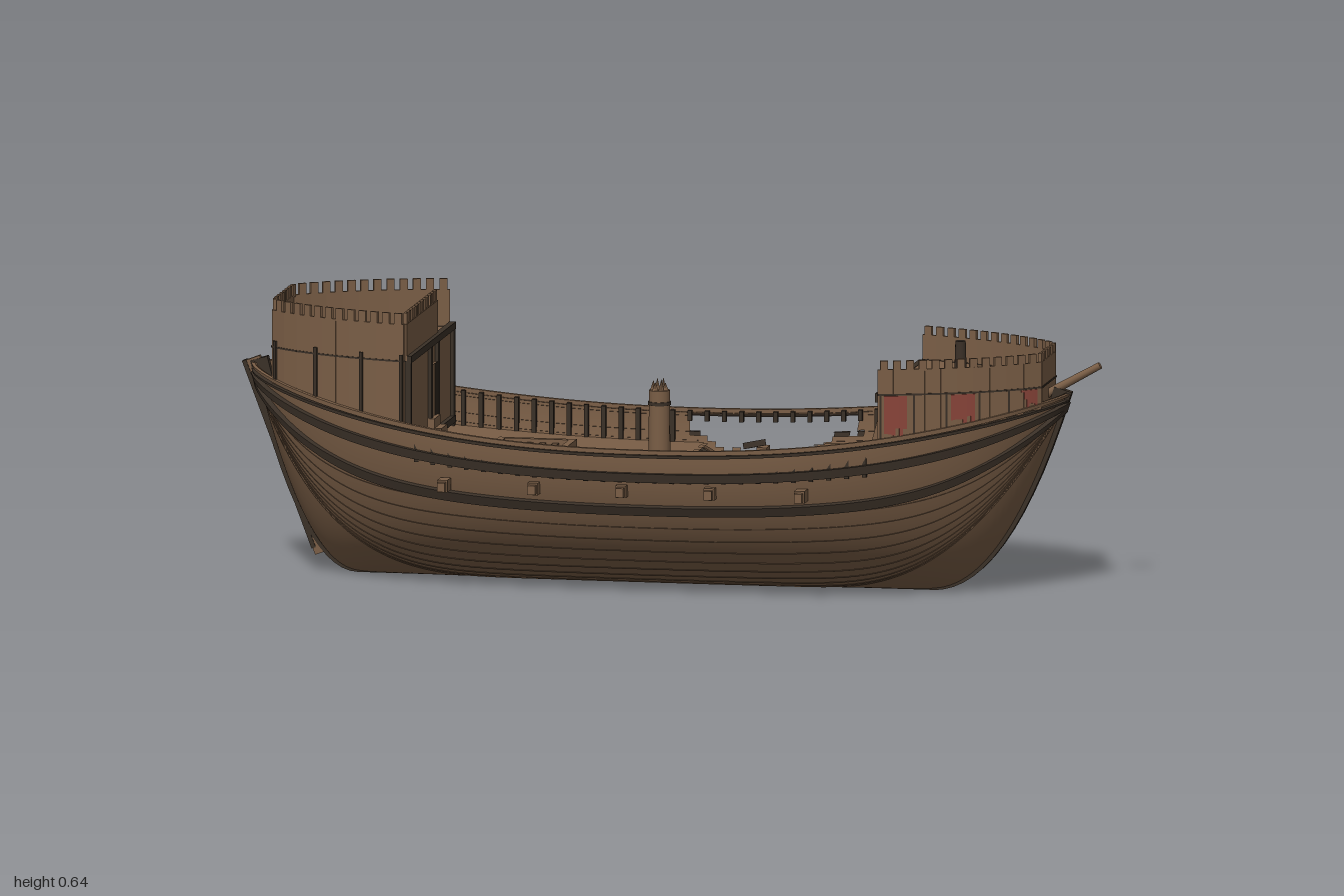
import * as THREE from 'three';
import { toCreasedNormals } from 'three/addons/utils/BufferGeometryUtils.js';

const mat = (name, color) => new THREE.MeshStandardMaterial({ name, color, side: THREE.DoubleSide });
const hash = n => { const s = Math.sin(n * 127.1 + 11.7) * 43758.5453; return s - Math.floor(s); };

// Hull rules: s runs stern (-1) to bow (1), v runs keel (0) to sheer (1)
const sheer = x => 0.35 + 0.115 * Math.pow(Math.abs(x) / 0.92, 2.2);
const reach = (s, v) => (s > 0 ? 0.6 + 0.32 * Math.sqrt(v) : 0.72 + 0.25 * Math.sqrt(v));
const taper = (s, v) => Math.pow(Math.max(0, 1 - Math.pow(Math.abs(s), s > 0 ? 2.8 : 3)),
  (s > 0 ? 0.68 : 0.6) - 0.08 * Math.max(0, 1 - v));
const half = x => 0.315 * taper(x / (x > 0 ? 0.92 : 0.97), 1);
const wallHalf = x => half(x) * (x > 0 ? 0.985 : 0.96);
function hull(s, v, side, off = 0) {
  const x = s * reach(s, v), y = v * sheer(x);
  const z = side * 0.315 * Math.sqrt(Math.max(0, 1 - (1 - v) ** 2)) * taper(s, v);
  const d = new THREE.Vector3(0.25 * x ** 3, Math.min(0, y - 0.3), z).normalize();
  return [x + d.x * off, y + d.y * off, z + d.z * off];
}
const station = u => Math.sin((u - 0.5) * Math.PI);
const inBreach = (x, v) => x > -0.03 && x < 0.38 && v < 0.95 &&
  v > 0.63 + 0.18 * ((x - 0.17) / 0.21) ** 2 + 0.1 * hash(Math.round(x * 45));

export function createModel() {
  const ship = new THREE.Group();
  ship.name = 'ship';
  const wood = mat('wood', 0x7a5e46), dark = mat('darkWood', 0x3a3027);
  const shade = mat('shadedWood', 0x5a4533), red = mat('redPaint', 0x8a453a);

  const add = (name, geo, m, parent = ship) => {
    const mesh = new THREE.Mesh(geo, m);
    mesh.name = name;
    parent.add(mesh);
    return mesh;
  };
  const box = (name, x0, x1, y0, y1, z0, z1, m, parent) => {
    const b = add(name, new THREE.BoxGeometry(x1 - x0, y1 - y0, z1 - z0), m, parent);
    b.position.set((x0 + x1) / 2, (y0 + y1) / 2, (z0 + z1) / 2);
  };
  // Upright plank between two [x, z] points
  const plank = (name, a, b, y0, y1, t, m, parent) => {
    const dx = b[0] - a[0], dz = b[1] - a[1];
    const p = add(name, new THREE.BoxGeometry(Math.hypot(dx, dz), y1 - y0, t), m, parent);
    p.position.set((a[0] + b[0]) / 2, (y0 + y1) / 2, (a[1] + b[1]) / 2);
    p.rotation.y = Math.atan2(-dz, dx);
  };
  // Straight timber between two 3D points
  const spar = (name, a, b, w, d, m) => {
    const A = new THREE.Vector3(...a), B = new THREE.Vector3(...b);
    const p = add(name, new THREE.BoxGeometry(w, A.distanceTo(B), d), m);
    p.position.copy(A).add(B).multiplyScalar(0.5);
    p.quaternion.setFromUnitVectors(new THREE.Vector3(0, 1, 0), B.sub(A).normalize());
  };
  const grid = (name, nu, nv, f, m, skip = () => false) => {
    const pos = [], idx = [];
    for (let i = 0; i <= nu; i++) for (let j = 0; j <= nv; j++) pos.push(...f(i / nu, j / nv));
    for (let i = 0; i < nu; i++) for (let j = 0; j < nv; j++) {
      if (skip((i + 0.5) / nu, (j + 0.5) / nv)) continue;
      const a = i * (nv + 1) + j, b = a + nv + 1;
      idx.push(a, b, a + 1, b, b + 1, a + 1);
    }
    const g = new THREE.BufferGeometry();
    g.setAttribute('position', new THREE.Float32BufferAttribute(pos, 3));
    g.setIndex(idx);
    return add(name, toCreasedNormals(g, 0.7), m);
  };

  // Planked shell, breached on one side
  const girth = w => 1 - Math.cos(w * Math.PI / 2);
  for (const side of [1, -1]) {
    // Mirrored run keeps the faces outward on both sides
    const st = u => station(side > 0 ? u : 1 - u);
    grid('hullSide', 140, 44, (u, w) => hull(st(u), girth(w), side), wood,
      (u, w) => { const v = girth(w), s = st(u); return side < 0 && inBreach(s * reach(s, v), v); });
    const strip = (name, vf, dv, off, m, broken) => grid(name, 140, 3, (u, w) => {
      const j = Math.round(w * 3), s = st(u), d = dv * (1 - 0.55 * s ** 6);
      return hull(s, vf(s) + (j < 2 ? -d : d), side, j % 3 ? off : -0.004);
    }, m, u => { const s = st(u), v = vf(s); return broken && side < 0 && inBreach(s * reach(s, v), v); });
    const sweep = (v0, v1, k) => s => v0 + (v1 - v0) * Math.abs(s) ** k;
    strip('sheerRail', () => 0.988, 0.014, 0.008, wood);
    strip('sheerLine', () => 0.962, 0.01, 0.011, dark);
    strip('upperWale', sweep(0.82, 0.94, 5), 0.028, 0.014, dark, true);
    strip('lowerWale', sweep(0.6, 0.92, 6), 0.028, 0.014, dark, true);
    for (let k = 1; k <= 10; k++) {
      const a = k * 0.112;
      strip('plankSeam', sweep(1 - Math.cos(a), 0.9, 8), 0.003 * Math.sin(a), 0.0015, shade);
    }
    // Dark lining of the open hold
    grid('holdLining', 16, 12, (u, w) => hull(-0.06 + 0.52 * u, girth(0.03 + 0.6 * w), side, -0.01), dark);
    // Bulwark stanchions
    for (let x = -0.54; x < 0.52; x += 0.04) {
      const z = side * (half(x) - 0.01), hole = side < 0 && x > -0.03 && x < 0.38;
      box('stanchion', x - 0.005, x + 0.005, sheer(x) * (hole ? 0.92 : 0.78), sheer(x) - 0.004, z - 0.006, z + 0.006, dark);
    }
    // Deck beam ends
    for (const x of [-0.47, -0.26, -0.055, 0.15, 0.36]) {
      const z = side * 0.305;
      box('beamEnd', x - 0.012, x + 0.012, 0.24, 0.268, z - 0.02, z + 0.02, wood);
      box('beamTip', x - 0.009, x + 0.009, 0.243, 0.264, side * 0.33 - 0.011, side * 0.33 + 0.011, wood);
    }
  }

  // Main deck with a ragged opening
  const deckV = 0.78;
  grid('deck', 220, 44, (u, w) => {
    const p = hull(station(1 - u), deckV, 1);
    return [p[0], p[1], p[2] * (1 - 2 * w) * 0.99];
  }, wood, (u, w) => {
    const x = hull(station(1 - u), deckV, 1)[0], r = Math.floor(w * 44);
    return x > 0.01 + 0.03 * hash(r) && x < 0.305 - 0.035 * hash(r + 70);
  });
  // Collapsed deck planks sagging into the hold, and splinters in the breach
  for (let i = 0; i < 15; i++) {
    const z = -0.266 + i * 0.038, low = 0.235 - 0.05 * Math.cos(z * 5) - 0.02 * hash(i + 8);
    const mid = 0.13 + 0.04 * hash(i + 20), m = i % 3 ? dark : shade;
    spar('saggingPlank', [0.02, 0.268, z], [mid, low, z], 0.006, 0.026, m);
    spar('saggingPlank', [0.295, 0.27, z], [mid + 0.01, low, z], 0.006, 0.026, m);
  }
  for (let i = 0; i < 12; i++) {
    const x = 0.36 * hash(i + 5), y = 0.22 + 0.07 * hash(i + 30), z = -0.26 - 0.04 * hash(i + 60);
    spar('splinter', [x, y, z], [x + 0.05, y + 0.03 * (hash(i + 90) - 0.5), z - 0.012], 0.014, 0.006, i % 2 ? wood : dark);
  }

  // Keel, stem, sternpost and rudder
  box('keel', -0.73, 0.62, 0, 0.01, -0.011, 0.011, dark);
  for (const e of [1, -1]) {
    const out = [], inn = [];
    for (let i = 0; i <= 14; i++) {
      const v = (i / 14) ** 2, x = e * reach(e, v), y = v * sheer(x);
      out.push(new THREE.Vector2(x + e * 0.01, y));
      inn.unshift(new THREE.Vector2(x - e * 0.03, y + 0.012));
    }
    const g = new THREE.ExtrudeGeometry(new THREE.Shape([...out, ...inn]), { depth: 0.02, bevelEnabled: false });
    add(e > 0 ? 'stem' : 'sternpost', g.translate(0, 0, -0.01), dark);
  }
  spar('rudder', [-0.81, 0.043, 0], [-0.977, 0.485, 0], 0.04, 0.016, wood);
  spar('rudderEdge', [-0.832, 0.052, 0], [-0.994, 0.48, 0], 0.01, 0.02, dark);

  // Castles: crenellated walls following the hull plan
  function castle(name, xIn, xOut, floorY, wallY, topY) {
    const g = new THREE.Group();
    g.name = name;
    ship.add(g);
    const path = [], N = 10, at = i => xIn + (xOut - xIn) * i / N;
    for (let i = 0; i <= N; i++) path.push([at(i), wallHalf(at(i))]);
    for (let i = N; i >= 0; i--) path.push([at(i), -wallHalf(at(i))]);
    for (let i = 0; i < path.length - 1; i++) {
      const [a, b] = [path[i], path[i + 1]];
      plank('wall', a, b, Math.min(sheer(a[0]), sheer(b[0])) - 0.008, wallY, 0.008, wood, g);
      plank('floorBand', a, b, floorY - 0.002, floorY + 0.002, 0.011, dark, g);
    }
    const teeth = pts => {
      const curve = new THREE.CurvePath();
      for (let i = 0; i < pts.length - 1; i++)
        curve.add(new THREE.LineCurve(new THREE.Vector2(...pts[i]), new THREE.Vector2(...pts[i + 1])));
      const n = Math.round(curve.getLength() / 0.03);
      for (let k = 0; k < n; k++) {
        const p = curve.getPoint((k + 0.2) / n), q = curve.getPoint((k + 0.8) / n);
        plank('crenel', [p.x, p.y], [q.x, q.y], wallY - 0.004, topY, 0.008, wood, g);
      }
    };
    teeth(path);
    const floor = new THREE.Shape(path.map(p => new THREE.Vector2(...p)));
    add('castleFloor', new THREE.ExtrudeGeometry(floor, { depth: 0.012, bevelEnabled: false })
      .rotateX(-Math.PI / 2).translate(0, floorY - 0.012, 0), wood, g);
    return { g, teeth };
  }
  // Thin plate following a castle wall, with an optionally uneven lower edge
  const sidePlate = (name, x0, x1, y0, y1, off, t, m, side, parent, rag = 0, n = 3) => {
    for (let i = 0; i < n; i++) {
      const a = x0 + (x1 - x0) * i / n, b = x0 + (x1 - x0) * (i + 1) / n;
      plank(name, [a, side * (wallHalf(a) + off)], [b, side * (wallHalf(b) + off)],
        y0 + rag * hash(i + 100 * x0 + side), y1, t, m, parent);
    }
  };

  const aft = castle('aftCastle', -0.57, -0.905, 0.53, 0.615, 0.64);
  const fore = castle('foreCastle', 0.53, 0.872, 0.487, 0.545, 0.565);
  for (const side of [1, -1]) {
    for (const x of [-0.898, -0.79, -0.675, -0.577])
      sidePlate('aftPost', x - 0.004, x + 0.004, sheer(x) - 0.01, 0.545, 0.004, 0.008, dark, side, aft.g, 0, 1);
    for (const x of [0.537, 0.61, 0.68, 0.75, 0.81])
      sidePlate('forePost', x - 0.002, x + 0.002, sheer(x) - 0.01, 0.487, 0.004, 0.004, dark, side, fore.g, 0, 1);
    for (const [a, b] of [[0.545, 0.595], [0.69, 0.74], [0.835, 0.866]])
      sidePlate('redPanel', a, b, sheer(a) - 0.005, 0.484, 0.004, 0.006, red, side, fore.g, 0.045, 6);
  }
  // Windows on one side of the aft castle
  for (const x of [-0.73, -0.84]) {
    sidePlate('windowFrame', x - 0.034, x + 0.034, 0.435, 0.51, 0.005, 0.006, wood, -1, aft.g);
    for (const dx of [-0.027, 0.003]) for (const y of [0.442, 0.475])
      sidePlate('windowPane', x + dx, x + dx + 0.024, y, y + 0.028, 0.009, 0.006, dark, -1, aft.g);
  }
  // Aft bulkhead, broken parapet, door and steps
  box('aftBulkhead', -0.575, -0.565, 0.3, 0.53, -0.255, 0.255, wood, aft.g);
  box('aftParapet', -0.575, -0.565, 0.53, 0.615, -0.1, 0.26, wood, aft.g);
  aft.teeth([[-0.57, 0.26], [-0.57, -0.1]]);
  for (const y of [0.31, 0.525]) box('bulkheadBeam', -0.57, -0.555, y, y + 0.016, -0.258, 0.258, dark, aft.g);
  for (const z of [-0.25, -0.07, 0.01, 0.25]) box('bulkheadPost', -0.57, -0.556, 0.3, 0.53, z - 0.007, z + 0.007, dark, aft.g);
  box('door', -0.566, -0.559, 0.31, 0.48, -0.06, 0, wood, aft.g);
  box('doorGap', -0.566, -0.557, 0.31, 0.48, -0.06, -0.035, dark, aft.g);
  for (let i = 0; i < 3; i++) box('step', -0.565 + i * 0.016, -0.549 + i * 0.016, 0.28, 0.36 - i * 0.022, -0.05, 0.02, wood, aft.g);
  // Fore bulkhead, edge beam, ladder and bitt
  box('foreBulkhead', 0.545, 0.555, 0.29, 0.48, -0.215, 0.215, wood, fore.g);
  box('foreEdgeBeam', 0.522, 0.536, 0.468, 0.488, -0.256, 0.256, dark, fore.g);
  for (const z of [0.07, 0.12]) spar('ladderRail', [0.475, 0.285, z], [0.53, 0.49, z], 0.012, 0.006, wood);
  for (let i = 1; i < 8; i++) box('rung', 0.469 + i * 0.007, 0.481 + i * 0.007, 0.284 + i * 0.025, 0.289 + i * 0.025, 0.07, 0.12, wood);
  add('bitt', new THREE.CylinderGeometry(0.012, 0.015, 0.09, 12), dark).position.set(0.67, 0.53, 0);

  // Hatches with gratings
  for (const [x0, x1, z] of [[-0.42, -0.24, 0.09], [0.34, 0.475, 0.082]]) {
    const y = deckV * sheer(x0 < 0 ? x0 : x1) - 0.003, t = 0.016;
    box('hatchWell', x0 + t, x1 - t, y - 0.006, y + 0.006, -z + t, z - t, dark);
    for (const s of [1, -1]) box('hatchCoaming', x0, x1, y - 0.015, y + 0.02, s * (z - t / 2) - t / 2, s * (z - t / 2) + t / 2, wood);
    for (const x of [x0, x1 - t]) box('hatchCoaming', x, x + t, y - 0.015, y + 0.02, -z, z, wood);
    for (let i = 1; i < 5; i++) {
      const x = x0 + t + (x1 - x0 - 2 * t) * i / 5;
      box('hatchBar', x - 0.007, x + 0.007, y, y + 0.012, -z + t, z - t, shade);
    }
  }

  // Broken mast on its step, and the bowsprit
  box('mastStep', -0.065, 0.003, 0.265, 0.292, -0.036, 0.036, wood);
  add('mast', new THREE.CylinderGeometry(0.024, 0.025, 0.16, 14), wood).position.set(-0.03, 0.36, 0);
  add('mastBand', new THREE.CylinderGeometry(0.0265, 0.0265, 0.008, 14), dark).position.set(-0.03, 0.41, 0);
  for (let i = 0; i < 6; i++) {
    const a = i * Math.PI / 3, c = add('mastSplinter', new THREE.ConeGeometry(0.01, 0.02 + 0.022 * hash(i + 3), 5), wood);
    c.position.set(-0.03 + 0.014 * Math.cos(a), 0.447, 0.014 * Math.sin(a));
  }
  const sprit = add('bowsprit', new THREE.CylinderGeometry(0.008, 0.011, 0.19, 12), wood);
  sprit.position.set(0.912, 0.482, 0);
  sprit.rotation.z = -1.06;
  return ship;
}
